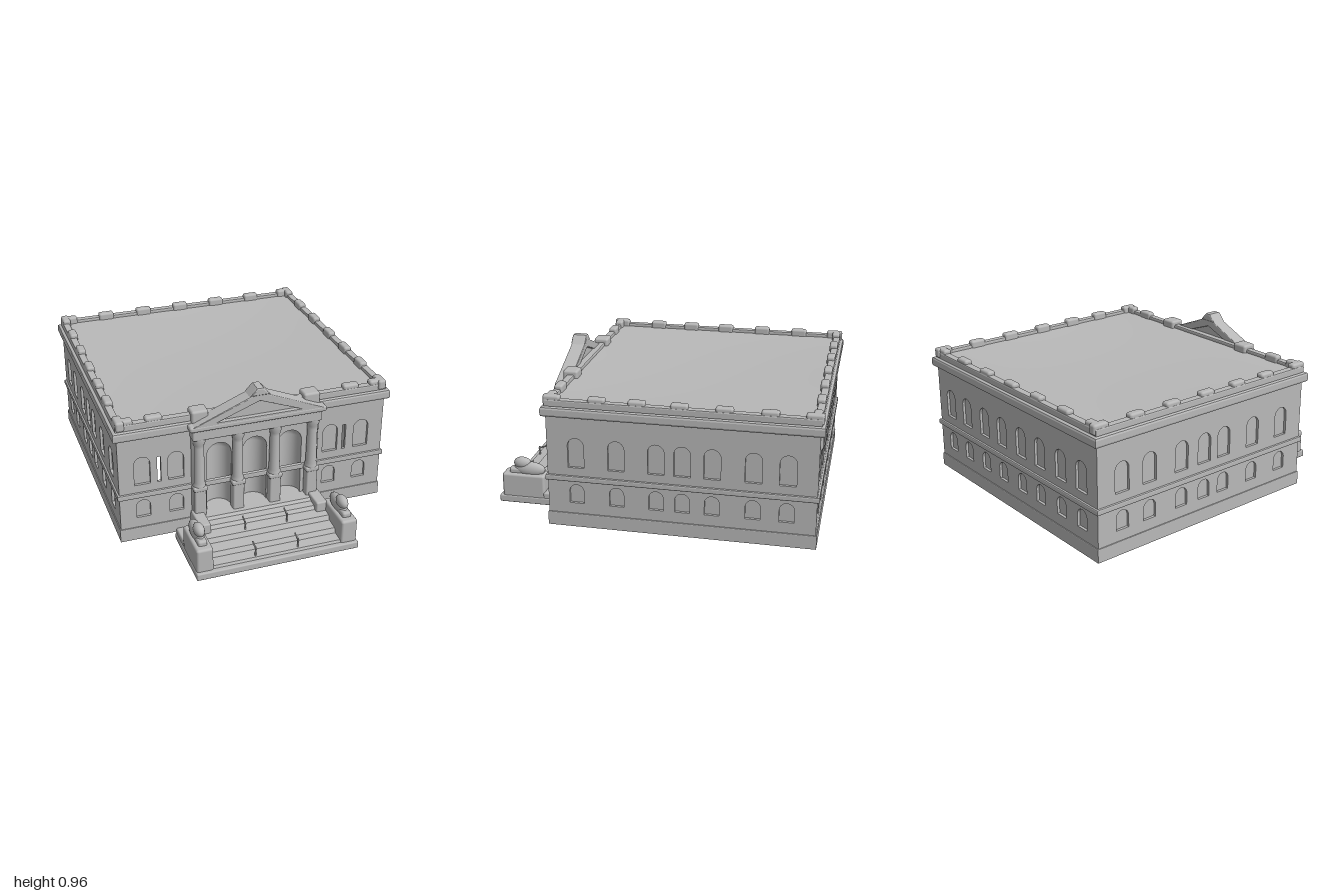
import * as THREE from 'three';
import { RoundedBoxGeometry } from 'three/addons/geometries/RoundedBoxGeometry.js';

const stone = new THREE.MeshStandardMaterial({ color: 0xb8b8b8, side: THREE.DoubleSide });
stone.name = 'stone grey';

const HX = 0.82, HZ = 0.77, ZC = -0.205; // body half sizes and centre

function add(parent, name, geo, x = 0, y = 0, z = 0) {
  const m = new THREE.Mesh(geo, stone);
  m.name = name;
  m.position.set(x, y, z);
  parent.add(m);
  return m;
}

const block = (w, h, d, r = 0.01) => new RoundedBoxGeometry(w, h, d, 2, r);
const extrude = (shape, depth, bevel = 0) => new THREE.ExtrudeGeometry(shape, {
  depth, curveSegments: 10, bevelEnabled: bevel > 0, bevelSize: bevel, bevelThickness: bevel, bevelSegments: 2,
});

// Closed outline through a few points
function outline(points, Type = THREE.Path) {
  const p = new Type();
  points.forEach(([x, y], i) => (i ? p.lineTo(x, y) : p.moveTo(x, y)));
  p.closePath();
  return p;
}
const rect = (x0, x1, y0, y1, Type) => outline([[x0, y0], [x1, y0], [x1, y1], [x0, y1]], Type);

// Outline of a round-headed opening
function arch(x, w, y0, y1, Type = THREE.Path) {
  const r = w / 2, p = new Type();
  p.moveTo(x - r, y0);
  p.lineTo(x + r, y0);
  p.lineTo(x + r, y1 - r);
  p.absarc(x, y1 - r, r, 0, Math.PI, false);
  p.lineTo(x - r, y0);
  return p;
}

// Horizontal moulding that runs round the whole body
function ring(parent, name, y0, y1, out, inset, bevel = 0.008) {
  const a = HX + out - bevel, b = HZ + out - bevel, c = HX - inset + bevel, d = HZ - inset + bevel;
  const s = rect(-a, a, -b, b, THREE.Shape);
  s.holes.push(rect(-c, c, -d, d));
  const m = add(parent, name, extrude(s, y1 - y0 - 2 * bevel, bevel), 0, y0 + bevel, ZC);
  m.rotation.x = -Math.PI / 2;
}

// Curved niche with a half-dome head, bulging into the building
function niche(parent, o) {
  const r = o.w / 2, h = o.y1 - r - o.y0;
  const g = new THREE.Group();
  g.name = 'doorNiche';
  g.position.set(o.x, 0, -0.015);
  add(g, 'nicheWall', new THREE.CylinderGeometry(r, r, h, 16, 1, true, Math.PI / 2, Math.PI), 0, o.y0 + h / 2);
  add(g, 'nicheHead', new THREE.SphereGeometry(r, 16, 8, Math.PI, Math.PI, 0, Math.PI / 2), 0, o.y1 - r);
  add(g, 'nicheFloor', new THREE.CircleGeometry(r, 24), 0, o.y0).rotation.x = -Math.PI / 2;
  parent.add(g);
}

// Wall in its own xy plane, outer face at z = 0, with windows, niches and slits
function wall(parent, name, half, windows, niches = [], slits = []) {
  const g = new THREE.Group();
  g.name = name;
  const t = 0.018;
  const s = rect(-half, half, 0.05, 0.8, THREE.Shape);
  for (const o of [...windows, ...niches]) s.holes.push(arch(o.x, o.w, o.y0, o.y1));
  for (const o of slits) s.holes.push(rect(o.x - o.w / 2, o.x + o.w / 2, o.y0, o.y1));
  add(g, 'wallFace', extrude(s, t), 0, 0, -t);
  for (const o of windows) {
    const back = arch(o.x, o.w + 0.012, o.y0 - 0.006, o.y1 + 0.006, THREE.Shape);
    add(g, 'windowRecess', extrude(back, 0.006), 0, 0, -t - 0.004);
  }
  for (const o of niches) niche(g, o);
  parent.add(g);
  return g;
}

const windowPair = (x) => [
  { x, w: 0.095, y0: 0.42, y1: 0.6 },
  { x, w: 0.085, y0: 0.2, y1: 0.315 },
];

function buildBody(root) {
  const body = new THREE.Group();
  body.name = 'mainBody';
  root.add(body);

  // Four walls with two rows of windows
  const doors = [-0.22, 0, 0.22].map((x) => ({ x, w: 0.15, y0: 0.17, y1: 0.61 }));
  const slits = [-0.58, 0.57].map((x) => ({ x, w: 0.022, y0: 0.42, y1: 0.585 }));
  const front = wall(body, 'frontWall', HX, [-0.68, -0.48, 0.48, 0.68].flatMap(windowPair), doors, slits);
  front.position.z = ZC + HZ;
  const back = wall(body, 'backWall', HX, [-0.68, -0.49, -0.29, -0.1, 0.1, 0.29, 0.49, 0.68].flatMap(windowPair));
  back.position.z = ZC - HZ;
  back.rotation.y = Math.PI;
  const sideZ = [0.395, 0.16, -0.07, -0.22, -0.39, -0.62, -0.81];
  for (const s of [1, -1]) {
    const side = wall(body, s > 0 ? 'leftWall' : 'rightWall', HZ, sideZ.flatMap((z) => windowPair(-s * (z - ZC))));
    side.position.set(s * HX, 0, ZC);
    side.rotation.y = s * Math.PI / 2;
  }

  // Mouldings from ground to parapet
  ring(body, 'plinth', 0.05, 0.135, 0.006, 0.018, 0.005);
  ring(body, 'beltCourse', 0.335, 0.37, 0.012, 0.015);
  ring(body, 'cornice', 0.725, 0.785, 0.025, 0.02, 0.014);
  ring(body, 'parapet', 0.78, 0.825, 0.005, 0.04);

  // Raised blocks along the parapet
  const zs = [0.53, 0.27, 0.04, -0.2, -0.45, -0.7, -0.94];
  for (const s of [1, -1]) {
    for (const z of zs) add(body, 'parapetBlock', block(0.05, 0.06, 0.1, 0.014), s * 0.797, 0.818, z);
    for (const x of [0.77, 0.6]) add(body, 'parapetBlock', block(0.1, 0.06, 0.05, 0.014), s * x, 0.818, 0.542);
    for (const x of [0.77, 0.52, 0.26]) add(body, 'parapetBlock', block(0.1, 0.06, 0.05, 0.014), s * x, 0.818, -0.952);
    add(body, 'porticoBlock', block(0.1, 0.08, 0.09, 0.014), s * 0.34, 0.81, 0.55);
  }
  add(body, 'parapetBlock', block(0.1, 0.06, 0.05, 0.014), 0, 0.818, -0.952);

  // Nearly flat roof with a faint dip
  const roof = new THREE.PlaneGeometry(1.6, 1.5, 16, 16);
  roof.rotateX(-Math.PI / 2);
  const p = roof.attributes.position;
  for (let i = 0; i < p.count; i++) {
    const u = p.getX(i) / 0.8, v = p.getZ(i) / 0.75;
    p.setY(i, 0.805 - 0.02 * (1 - u * u) * (1 - v * v));
  }
  roof.computeVertexNormals();
  add(body, 'roof', roof, 0, 0, ZC);
}

function buildPortico(root) {
  const g = new THREE.Group();
  g.name = 'portico';
  root.add(g);

  // Columns on pedestals
  const profile = [[0.038, 0], [0.038, 0.015], [0.033, 0.03], [0.03, 0.26], [0.032, 0.28], [0.04, 0.3], [0.04, 0.325]]
    .map(([r, y]) => new THREE.Vector2(r, y));
  for (const x of [-0.35, -0.115, 0.115, 0.35]) {
    add(g, 'pedestal', block(0.07, 0.19, 0.06), x, 0.255, 0.592);
    add(g, 'pedestalCap', block(0.085, 0.03, 0.07), x, 0.35, 0.592);
    add(g, 'column', new THREE.LatheGeometry(profile, 20), x, 0.36, 0.59);
  }
  for (const s of [1, -1]) add(g, 'endPier', block(0.04, 0.53, 0.04), s * 0.37, 0.43, 0.575);

  add(g, 'entablature', block(0.79, 0.07, 0.07), 0, 0.712, 0.592);
  add(g, 'porticoCornice', block(0.83, 0.035, 0.09, 0.012), 0, 0.76, 0.597);

  // Pediment with a sunk centre panel
  const tri = (w, y0, y1, Type) => outline([[-w, y0], [w, y0], [0, y1]], Type);
  const frame = tri(0.4, 0.77, 0.93, THREE.Shape);
  frame.holes.push(tri(0.26, 0.785, 0.888));
  add(g, 'pedimentFrame', extrude(frame, 0.07, 0.008), 0, 0, 0.562);
  add(g, 'pedimentPanel', extrude(tri(0.32, 0.775, 0.9, THREE.Shape), 0.05), 0, 0, 0.565);
  const finial = outline([[-0.05, 0.92], [0.05, 0.92], [0.015, 0.953], [-0.015, 0.953]], THREE.Shape);
  add(g, 'finial', extrude(finial, 0.07, 0.01), 0, 0, 0.562);
}

function buildStairs(root) {
  const g = new THREE.Group();
  g.name = 'entranceStairs';
  root.add(g);
  add(g, 'stairBase', block(0.99, 0.045, 0.435, 0.008), 0, 0.0225, 0.7825);

  // Worn flight of steps up to the landing, drawn in profile and swept across
  const flight = outline([
    [0.57, 0.03], [0.98, 0.03], [0.965, 0.06], [0.9, 0.065], [0.885, 0.092], [0.81, 0.097],
    [0.795, 0.124], [0.725, 0.13], [0.71, 0.15], [0.665, 0.155], [0.65, 0.17], [0.57, 0.17],
  ], THREE.Shape);
  const steps = add(g, 'steps', extrude(flight, 0.8), 0.4, 0, 0);
  steps.rotation.y = -Math.PI / 2;

  for (const s of [1, -1]) {
    // Cheek walls
    add(g, 'cheekWall', block(0.1, 0.17, 0.27, 0.015), s * 0.44, 0.105, 0.845);
    add(g, 'cheekLink', block(0.07, 0.15, 0.18), s * 0.365, 0.115, 0.66);
    add(g, 'rearLedge', block(0.1, 0.06, 0.15), s * 0.44, 0.05, 0.645);

    // Reclining statue
    const statue = new THREE.Group();
    statue.name = 'recliningStatue';
    statue.position.set(s * 0.44, 0.19, 0);
    add(statue, 'torso', new THREE.SphereGeometry(1, 18, 12), 0, 0.022, 0.815).scale.set(0.036, 0.048, 0.1);
    add(statue, 'head', new THREE.SphereGeometry(1, 16, 12), 0, 0.06, 0.86).scale.set(0.032, 0.038, 0.055);
    add(statue, 'forelegs', block(0.055, 0.04, 0.1, 0.014), 0, 0.01, 0.89);
    g.add(statue);

    // Handrail posts
    for (const [z, y] of [[0.95, 0.05], [0.775, 0.11]]) {
      add(g, 'railPost', new THREE.CylinderGeometry(0.005, 0.006, 0.07, 8), s * 0.13, y + 0.035, z);
      const bar = add(g, 'railBar', new THREE.CylinderGeometry(0.005, 0.005, 0.06, 8), s * 0.13, y + 0.065, z - 0.02);
      bar.rotation.x = Math.PI / 2 + 0.35;
    }
  }
}

export function createModel() {
  const root = new THREE.Group();
  root.name = 'classicalHall';
  buildBody(root);
  buildPortico(root);
  buildStairs(root);
  return root;
}
